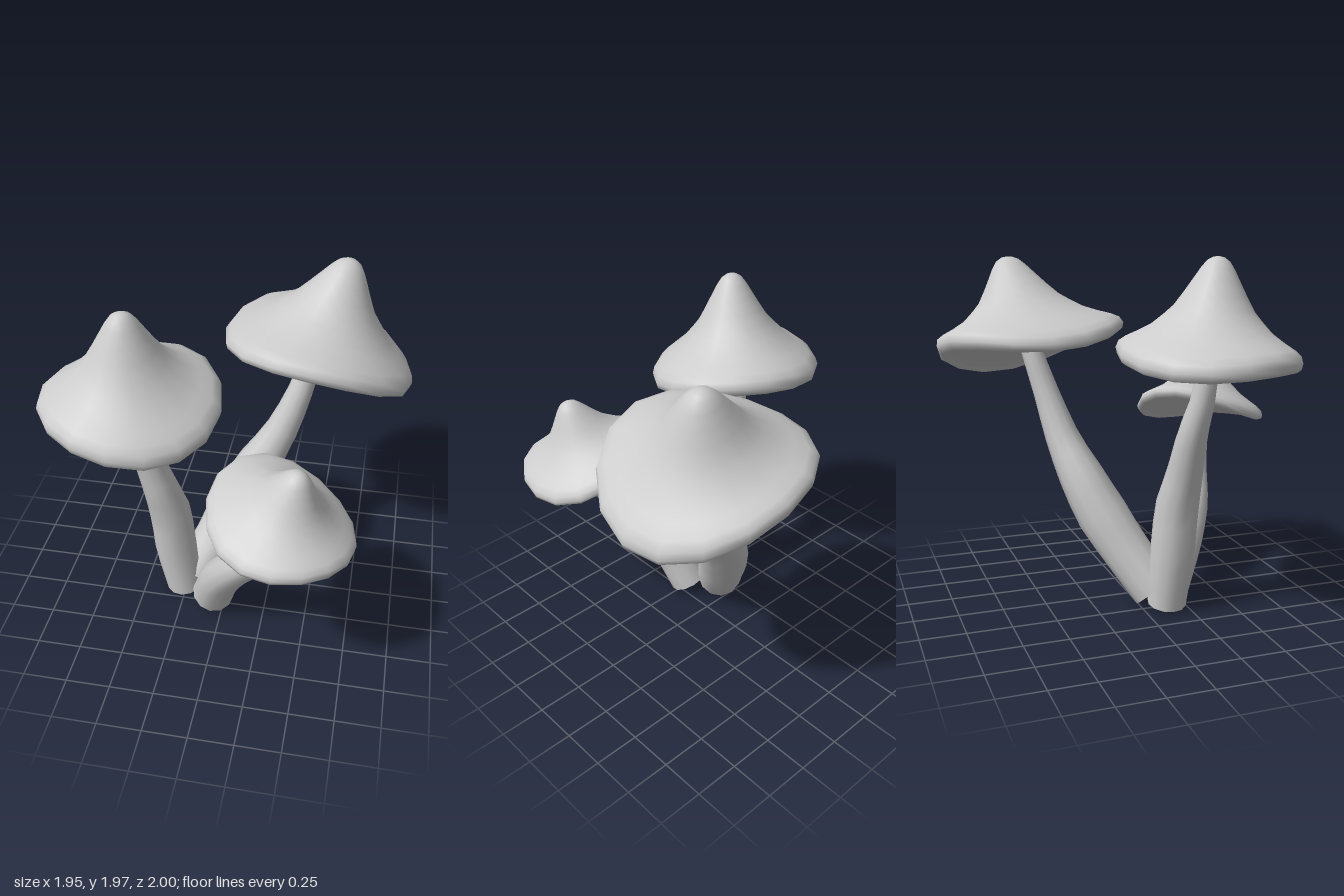
import * as THREE from 'three';
import { mergeVertices } from 'three/addons/utils/BufferGeometryUtils.js';

const capMaterial = new THREE.MeshStandardMaterial({ color: 0xcccccc });
const stemMaterial = new THREE.MeshStandardMaterial({ color: 0xcccccc, side: THREE.DoubleSide });

// Cap profile [radius, height]: flat underside, rolled lip, bell-shaped top; 1 unit = rim radius / cap height
const PROFILE = [
  [0, -0.08], [0.45, -0.06], [0.86, -0.035], [0.9, -0.06], [0.945, -0.075], [0.985, -0.05], [1, 0.01],
  [0.975, 0.08], [0.9, 0.14], [0.78, 0.21], [0.64, 0.3], [0.52, 0.41], [0.43, 0.5], [0.34, 0.63],
  [0.25, 0.77], [0.18, 0.88], [0.12, 0.955], [0.06, 0.99], [0, 1],
];

// Lathed cap, with its tip shifted off centre, its rim tilted (tiltX, tiltZ) and warped (bend, twist)
function makeCap({ center, radius, tip, tiltX, tiltZ, bend, twist }) {
  const [cx, cy, cz] = center;
  const height = tip[1] - cy;
  const points = PROFILE.map(([r, h]) => new THREE.Vector2(r, h));
  let geo = new THREE.LatheGeometry(points, 16);
  geo.deleteAttribute('uv');
  geo.deleteAttribute('normal');
  geo = mergeVertices(geo, 1e-4);
  const pos = geo.attributes.position;
  for (let i = 0; i < pos.count; i++) {
    const x = pos.getX(i), h = pos.getY(i), z = pos.getZ(i);
    const lean = Math.max(h, 0);
    pos.setXYZ(
      i,
      cx + x * radius + (tip[0] - cx) * lean,
      cy + h * height + tiltX * x + tiltZ * z + bend * (z * z - x * x) + twist * 2 * x * z,
      cz + z * radius + (tip[2] - cz) * lean,
    );
  }
  geo.computeVertexNormals();
  const mesh = new THREE.Mesh(geo, capMaterial);
  mesh.name = 'cap';
  return mesh;
}

// Curved stem through [x, y, z, radius] stations, open at the foot
function makeStem(stations) {
  const path = new THREE.CatmullRomCurve3(stations.map(([x, y, z]) => new THREE.Vector3(x, y, z)));
  const rings = 12, sides = 12;
  const geo = new THREE.TubeGeometry(path, rings, 1, sides);
  const pos = geo.attributes.position;
  const p = new THREE.Vector3();
  for (let i = 0; i <= rings; i++) {
    const u = i / rings;
    const middle = path.getPointAt(u);
    const s = path.getUtoTmapping(u) * (stations.length - 1);
    const k = Math.min(Math.floor(s), stations.length - 2);
    const r = THREE.MathUtils.lerp(stations[k][3], stations[k + 1][3], s - k);
    for (let j = 0; j <= sides; j++) {
      const n = i * (sides + 1) + j;
      p.fromBufferAttribute(pos, n).sub(middle).multiplyScalar(r).add(middle);
      pos.setXYZ(n, p.x, p.y, p.z);
    }
  }
  const mesh = new THREE.Mesh(geo, stemMaterial);
  mesh.name = 'stem';
  return mesh;
}

const MUSHROOMS = [
  {
    name: 'rightMushroom',
    cap: {
      center: [-0.485, 1.428, 0.275], radius: 0.488, tip: [-0.49, 1.97, 0.32],
      tiltX: -0.006, tiltZ: -0.047, bend: 0, twist: -0.04,
    },
    stem: [
      [-0.26, 0.02, 0.14, 0.11], [-0.305, 0.35, 0.155, 0.125], [-0.325, 0.6, 0.17, 0.122],
      [-0.37, 0.8, 0.195, 0.1], [-0.43, 1.02, 0.21, 0.082], [-0.475, 1.25, 0.255, 0.063], [-0.48, 1.45, 0.275, 0.058],
    ],
  },
  {
    name: 'rearMushroom',
    cap: {
      center: [0.43, 1.44, -0.455], radius: 0.545, tip: [0.57, 1.945, -0.56],
      tiltX: -0.125, tiltZ: 0.055, bend: 0.066, twist: 0.02,
    },
    stem: [
      [-0.2, 0.085, 0.095, 0.135], [-0.09, 0.28, -0.03, 0.138], [0.015, 0.5, -0.155, 0.148], [0.11, 0.69, -0.24, 0.132],
      [0.235, 0.9, -0.318, 0.1], [0.335, 1.15, -0.385, 0.075], [0.41, 1.42, -0.46, 0.06],
    ],
  },
  {
    name: 'frontMushroom',
    cap: {
      center: [0.375, 1.01, 0.605], radius: 0.392, tip: [0.465, 1.37, 0.66],
      tiltX: -0.098, tiltZ: -0.068, bend: 0.012, twist: 0.045,
    },
    stem: [
      [-0.065, 0.06, 0.23, 0.125], [0.005, 0.3, 0.345, 0.118], [0.11, 0.485, 0.44, 0.105],
      [0.265, 0.67, 0.525, 0.078], [0.345, 0.88, 0.585, 0.055], [0.375, 1.02, 0.6, 0.05],
    ],
  },
];

export function createModel() {
  const model = new THREE.Group();
  model.name = 'mushroomCluster';
  for (const { name, cap, stem } of MUSHROOMS) {
    const mushroom = new THREE.Group();
    mushroom.name = name;
    mushroom.add(makeStem(stem), makeCap(cap));
    model.add(mushroom);
  }
  return model;
}
